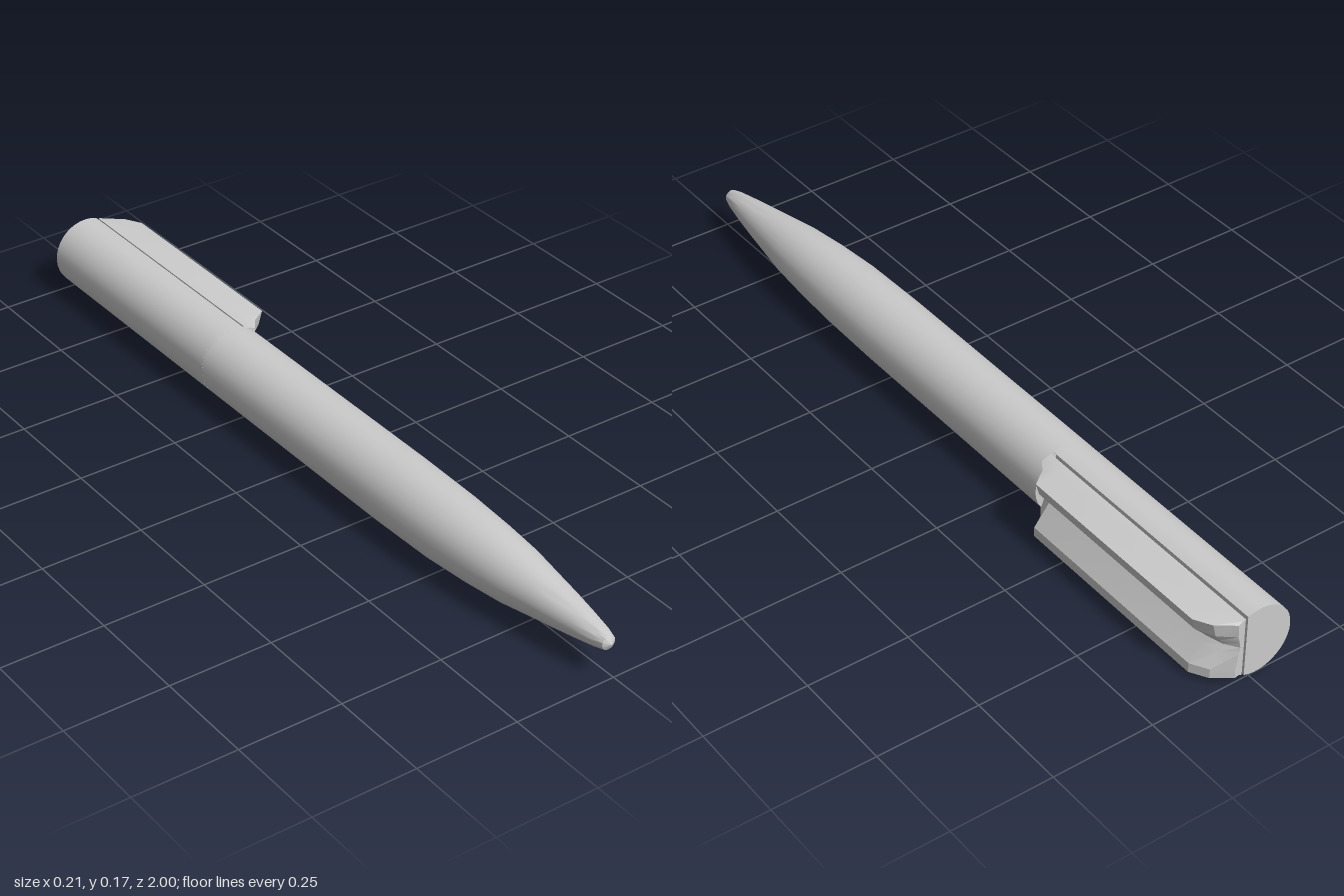
import * as THREE from 'three';
import { toCreasedNormals } from 'three/addons/utils/BufferGeometryUtils.js';

const R = 0.086, CX = -0.02, CY = 0.086;
const SPLIT_Z = -0.36, REAR_Z = -1;

// Closed solid through matching counter-clockwise outlines, listed front to back.
function loft(sections) {
  const n = sections[0].length, pos = [], index = [];
  sections.forEach(s => s.forEach(p => pos.push(p.x, p.y, p.z)));
  const last = (sections.length - 1) * n;
  for (let s = 0; s < last; s += n) {
    for (let i = 0; i < n; i++) {
      const j = (i + 1) % n;
      index.push(s + i, s + n + i, s + n + j, s + i, s + n + j, s + j);
    }
  }
  const cap = (s, base, flip) => {
    const flat = s.map(p => new THREE.Vector2(p.x, p.y));
    for (const [a, b, c] of THREE.ShapeUtils.triangulateShape(flat, [])) {
      index.push(base + a, base + (flip ? c : b), base + (flip ? b : c));
    }
  };
  cap(sections[0], 0, false);
  cap(sections[sections.length - 1], last, true);
  const g = new THREE.BufferGeometry();
  g.setAttribute('position', new THREE.Float32BufferAttribute(pos, 3));
  g.setIndex(index);
  return g;
}

export function createModel() {
  const group = new THREE.Group();
  const mat = new THREE.MeshStandardMaterial({ color: 0xcccccc });
  const add = (name, geometry, crease = 0.5) => {
    const mesh = new THREE.Mesh(toCreasedNormals(geometry, crease), mat);
    mesh.name = name;
    group.add(mesh);
  };

  // Barrel with tapered nose; the axis drifts slightly sideways towards the tip
  const profile = [
    [0, SPLIT_Z], [R, SPLIT_Z], [R, 0.3], [0.083, 0.48], [0.076, 0.6], [0.067, 0.7],
    [0.053, 0.79], [0.044, 0.85], [0.034, 0.91], [0.024, 0.965], [0.017, 0.99], [0, 1],
  ].map(([r, z]) => new THREE.Vector2(r, z));
  const barrel = new THREE.LatheGeometry(profile, 28).rotateX(Math.PI / 2);
  const p = barrel.attributes.position;
  for (let i = 0; i < p.count; i++) {
    const drift = 0.01 * THREE.MathUtils.smoothstep(p.getZ(i), 0.4, 1);
    p.setXY(i, p.getX(i) + CX + drift, p.getY(i) + CY);
  }
  add('barrel', barrel);

  // Rear half-round body, cut flat along the slit
  const cut = Math.acos((0.012 - CX) / R);
  const half = [];
  for (let i = 0; i <= 22; i++) {
    const a = cut + (2 * Math.PI - 2 * cut) * i / 22;
    half.push([CX + R * Math.cos(a), CY + R * Math.sin(a)]);
  }
  add('rearBody', loft([SPLIT_Z + 0.01, REAR_Z].map(
    z => half.map(([x, y]) => new THREE.Vector3(x, y, z)))));

  // Side clip with an upper and lower fin and a valley between them
  const x0 = 0.018;
  const outline = [
    [x0, 0.01], [0.05, 0.014], [0.102, 0.011], [0.102, 0.035], [0.072, 0.074], [0.06, 0.09],
    [0.072, 0.104], [0.09, 0.122], [0.1, 0.155], [0.05, 0.161], [x0, 0.163],
  ];
  const stations = [
    [-0.35, 0.3], [-0.38, 0.55], [-0.405, 1], [-0.93, 1], [-0.97, 0.72], [REAR_Z, 0.22],
  ];
  add('sideClip', loft(stations.map(([z, k]) =>
    outline.map(([x, y]) => new THREE.Vector3(x0 + (x - x0) * k, y, z)))), 0.3);

  return group;
}
